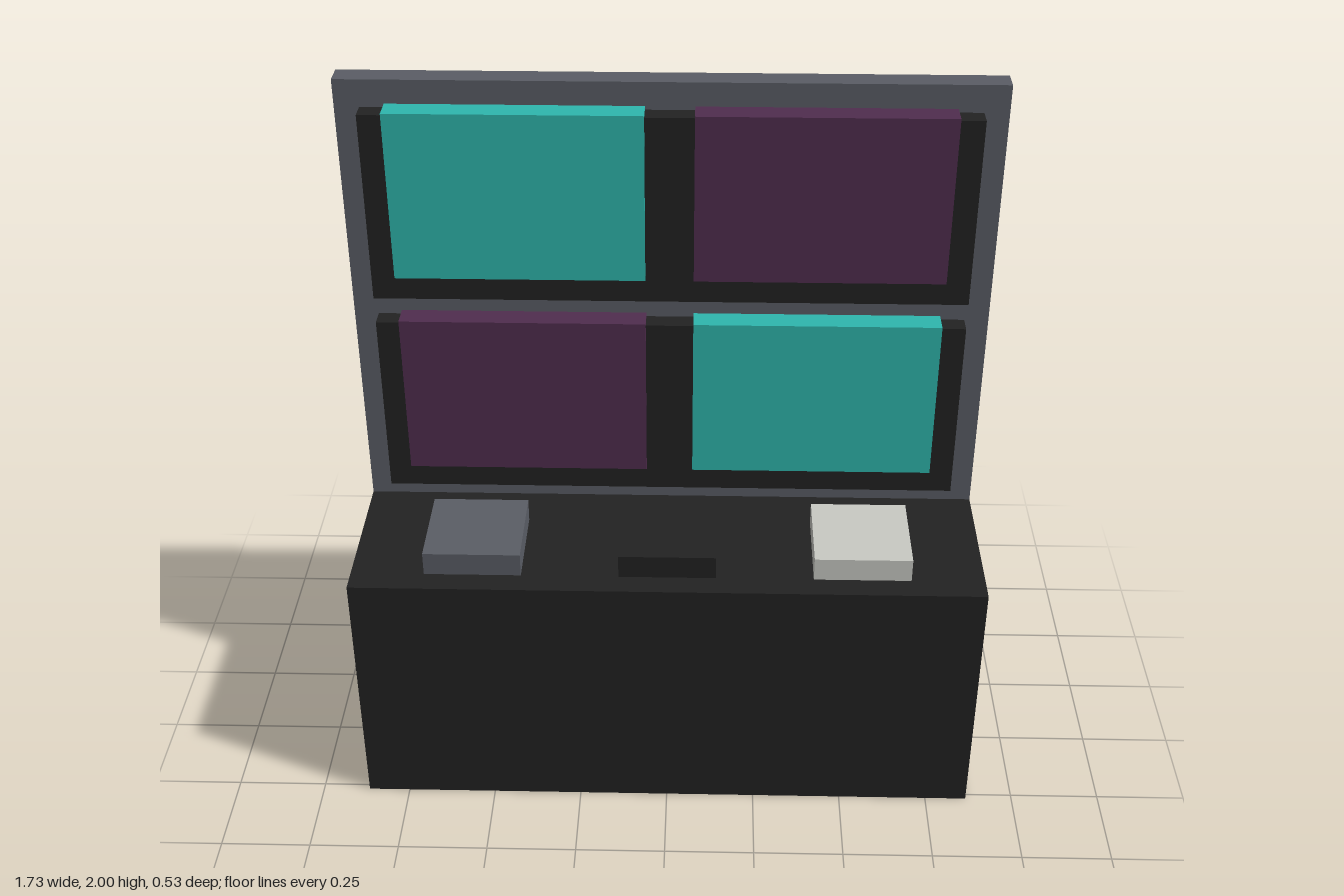
import * as THREE from 'three';

const material = (name, color) => {
  const m = new THREE.MeshStandardMaterial({ color });
  m.name = name;
  return m;
};

export function createModel() {
  const black = material('black', 0x222222);
  const grey = material('slateGrey', 0x5a5d65);
  const teal = material('teal', 0x2eb6ad);
  const purple = material('purple', 0x502d4e);
  const pale = material('paleGrey', 0xc8c9c3);

  const model = new THREE.Group();
  model.name = 'controlConsole';

  // Adds a box spanning the given ranges on each axis
  const box = (name, mat, [x0, x1], [y0, y1], [z0, z1]) => {
    const mesh = new THREE.Mesh(new THREE.BoxGeometry(x1 - x0, y1 - y0, z1 - z0), mat);
    mesh.position.set((x0 + x1) / 2, (y0 + y1) / 2, (z0 + z1) / 2);
    mesh.name = name;
    model.add(mesh);
  };

  // Desk and the wall standing on its rear edge
  box('desk', black, [-0.867, 0.867], [0, 0.733], [-0.267, 0.267]);
  box('backWall', grey, [-0.867, 0.867], [0.733, 2], [-0.267, -0.2]);

  // Two rows of paired screens, each on a backing slab set just off the wall
  [0.8, 1.4].forEach((y, row) => {
    box('screenBacking', black, [-0.8, 0.8], [y + 0.002, y + 0.528], [-0.193, -0.14]);
    const [left, right] = row ? [teal, purple] : [purple, teal];
    const span = [y + 0.067, y + 0.535];
    box('screen', left, [-0.737, -0.066], span, [-0.2, -0.133]);
    box('screen', right, [0.063, 0.735], span, [-0.2, -0.133]);
  });

  // Square buttons on the desk top
  [grey, black, pale].forEach((mat, i) => {
    const x = (i - 1) * 0.533;
    box('button', mat, [x - 0.133, x + 0.133], [0.733, 0.8], [-0.067, 0.2]);
  });

  return model;
}
